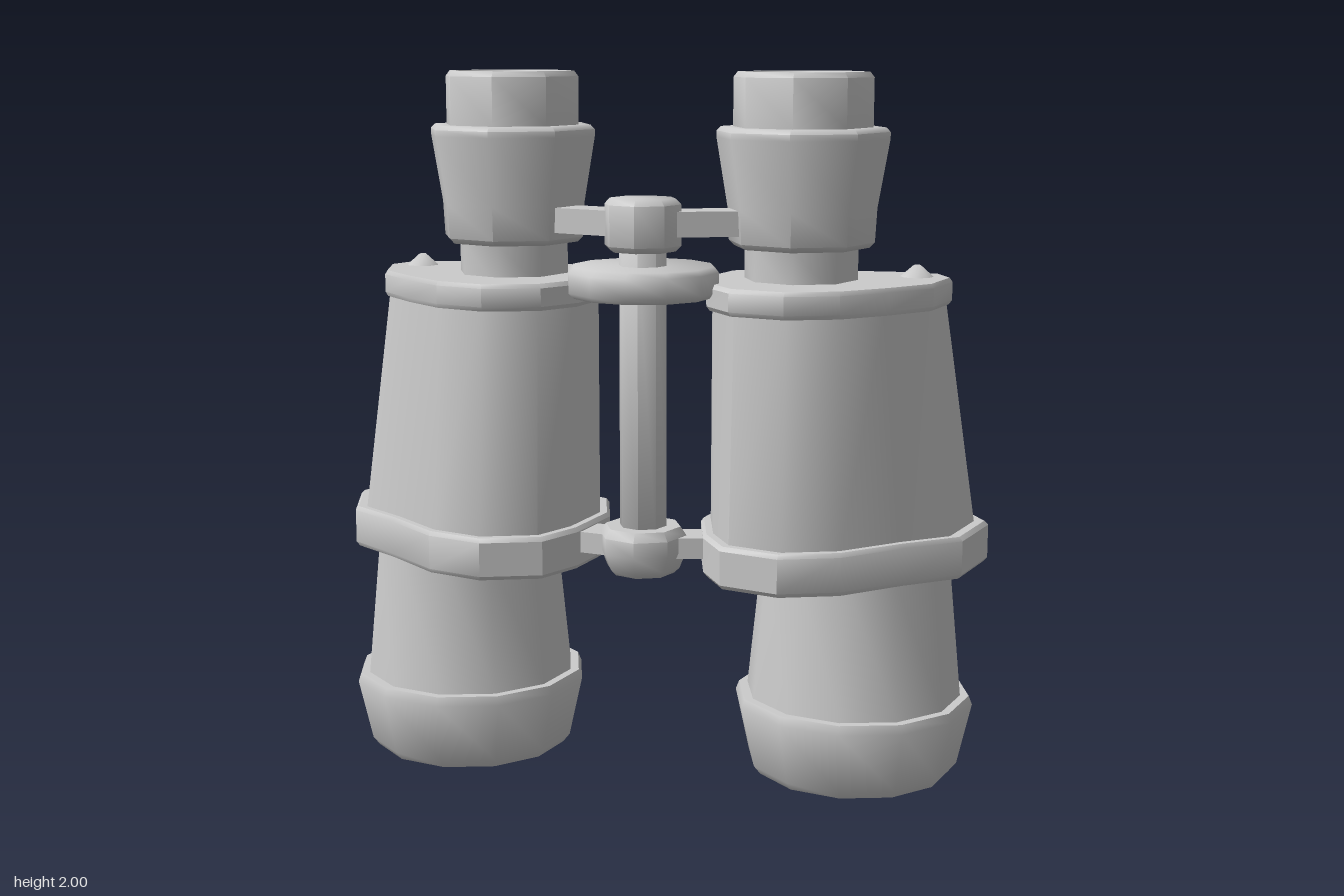
import * as THREE from 'three';
import { toCreasedNormals } from 'three/addons/utils/BufferGeometryUtils.js';

const grey = new THREE.MeshStandardMaterial({ color: 0xcccccc });

// Prism housing outlines [x, z], counter-clockwise seen from above
const LOWER = [[0.95, -0.13], [0.87, -0.28], [0.74, -0.3], [0.3, -0.25], [0.18, -0.18], [0.135, 0.0],
  [0.18, 0.2], [0.25, 0.33], [0.416, 0.385], [0.58, 0.33], [0.74, 0.19], [0.89, 0.08]];
const UPPER = [[0.83, -0.11], [0.79, -0.2], [0.7, -0.225], [0.3, -0.22], [0.19, -0.16], [0.146, 0.0],
  [0.18, 0.17], [0.26, 0.28], [0.416, 0.325], [0.56, 0.275], [0.68, 0.17], [0.79, 0.05]];

// Profiles [radius, y], from the lower centre outward and up
const OBJECTIVE = [[0, 0.05], [0.245, 0.06], [0.255, 0], [0.285, 0], [0.305, 0.025], [0.345, 0.205],
  [0.335, 0.23], [0.31, 0.23], [0.27, 0.63], [0, 0.64]];
const EYEPIECE = [[0, 1.4], [0.16, 1.4], [0.16, 1.52], [0.19, 1.52], [0.205, 1.535], [0.21, 1.63],
  [0.242, 1.82], [0.242, 1.838], [0.23, 1.85], [0.195, 1.85], [0.195, 1.985], [0.183, 2],
  [0.165, 2], [0.125, 1.93], [0, 1.93]];

function add(parent, name, geometry, crease = 0.9) {
  const mesh = new THREE.Mesh(toCreasedNormals(geometry, crease), grey);
  mesh.name = name;
  parent.add(mesh);
  return mesh;
}

function lathe(parent, name, profile, sides, x, z) {
  const points = profile.map(([r, y]) => new THREE.Vector2(r, y));
  const mesh = add(parent, name, new THREE.LatheGeometry(points, sides));
  mesh.position.set(x, 0, z);
  return mesh;
}

// Short bevelled turned block
function puck(parent, name, r, y0, y1, sides, bevel, z) {
  return lathe(parent, name, [[0, y0], [r - bevel, y0], [r, y0 + bevel], [r, y1 - bevel],
    [r - bevel, y1], [0, y1]], sides, 0, z);
}

// Skin over stacked outlines, each layer [outline, scale, y], with flat caps
function loft(layers, side) {
  const rings = layers.map(([outline, k, y]) => {
    const ring = outline.map(([x, z]) => new THREE.Vector3(side * (0.5 + (x - 0.5) * k), y, 0.03 + (z - 0.03) * k));
    return side < 0 ? ring.reverse() : ring;
  });
  const n = rings[0].length, last = (rings.length - 1) * n, index = [];
  for (let j = 0; j < rings.length - 1; j++) {
    for (let i = 0; i < n; i++) {
      const a = j * n + i, b = j * n + (i + 1) % n;
      index.push(a, b, b + n, a, b + n, a + n);
    }
  }
  const cap = ring => THREE.ShapeUtils.triangulateShape(ring.map(p => new THREE.Vector2(p.x, -p.z)), []);
  for (const [a, b, c] of cap(rings[0])) index.push(a, c, b);
  for (const [a, b, c] of cap(rings[rings.length - 1])) index.push(last + a, last + b, last + c);
  const geometry = new THREE.BufferGeometry().setFromPoints(rings.flat());
  geometry.setIndex(index);
  return geometry;
}

function flange(outline, y0, y1) {
  return [[outline, 0.975, y0], [outline, 1, y0 + 0.012], [outline, 1, y1 - 0.012], [outline, 0.975, y1]];
}

// Flat bar from the hinge axis toward a barrel
function arm(parent, name, from, to, y0, y1, width) {
  const dx = to[0] - from[0], dz = to[1] - from[1];
  const mesh = add(parent, name, new THREE.BoxGeometry(Math.hypot(dx, dz), y1 - y0, width));
  mesh.position.set((from[0] + to[0]) / 2, (y0 + y1) / 2, (from[1] + to[1]) / 2);
  mesh.rotation.y = -Math.atan2(dz, dx);
}

export function createModel() {
  const model = new THREE.Group();
  model.name = 'binoculars';
  const hingeZ = 0.163;

  // Two mirrored telescope halves
  for (const side of [1, -1]) {
    const half = new THREE.Group();
    half.name = side > 0 ? 'leftTelescope' : 'rightTelescope';
    model.add(half);

    lathe(half, 'objectiveBarrel', OBJECTIVE, 12, side * 0.579, -0.043);
    add(half, 'lowerFlange', loft(flange(LOWER, 0.61, 0.73), side), 0.6);
    add(half, 'prismHousing', loft([[LOWER, 0.92, 0.7], [UPPER, 0.945, 1.38]], side), 0.75);
    add(half, 'upperFlange', loft(flange(UPPER, 1.355, 1.43), side), 0.6);
    lathe(half, 'eyepiece', EYEPIECE, 8, side * 0.416, 0);

    const screw = add(half, 'adjustmentScrew', new THREE.CylinderGeometry(0.01, 0.05, 0.035, 8));
    screw.position.set(side * 0.73, 1.445, -0.115);

    // Bridge arms to the hinge
    arm(half, 'upperBridgeArm', [side * 0.04, 0.145], [side * 0.25, 0.07], 1.555, 1.625, 0.11);
    arm(half, 'lowerBridgeArm', [side * 0.04, 0.16], [side * 0.22, 0.12], 0.655, 0.715, 0.11);
  }

  // Central hinge with focus wheel
  const hinge = new THREE.Group();
  hinge.name = 'hinge';
  model.add(hinge);
  puck(hinge, 'hingeRod', 0.067, 0.68, 1.54, 8, 0.005, hingeZ);
  puck(hinge, 'focusWheel', 0.213, 1.39, 1.475, 12, 0.015, hingeZ);
  puck(hinge, 'topKnob', 0.108, 1.515, 1.66, 8, 0.016, hingeZ);
  lathe(hinge, 'bottomKnob', [[0, 0.605], [0.09, 0.605], [0.105, 0.62], [0.125, 0.67], [0.125, 0.715],
    [0.108, 0.74], [0, 0.74]], 8, 0, hingeZ);
  return model;
}
